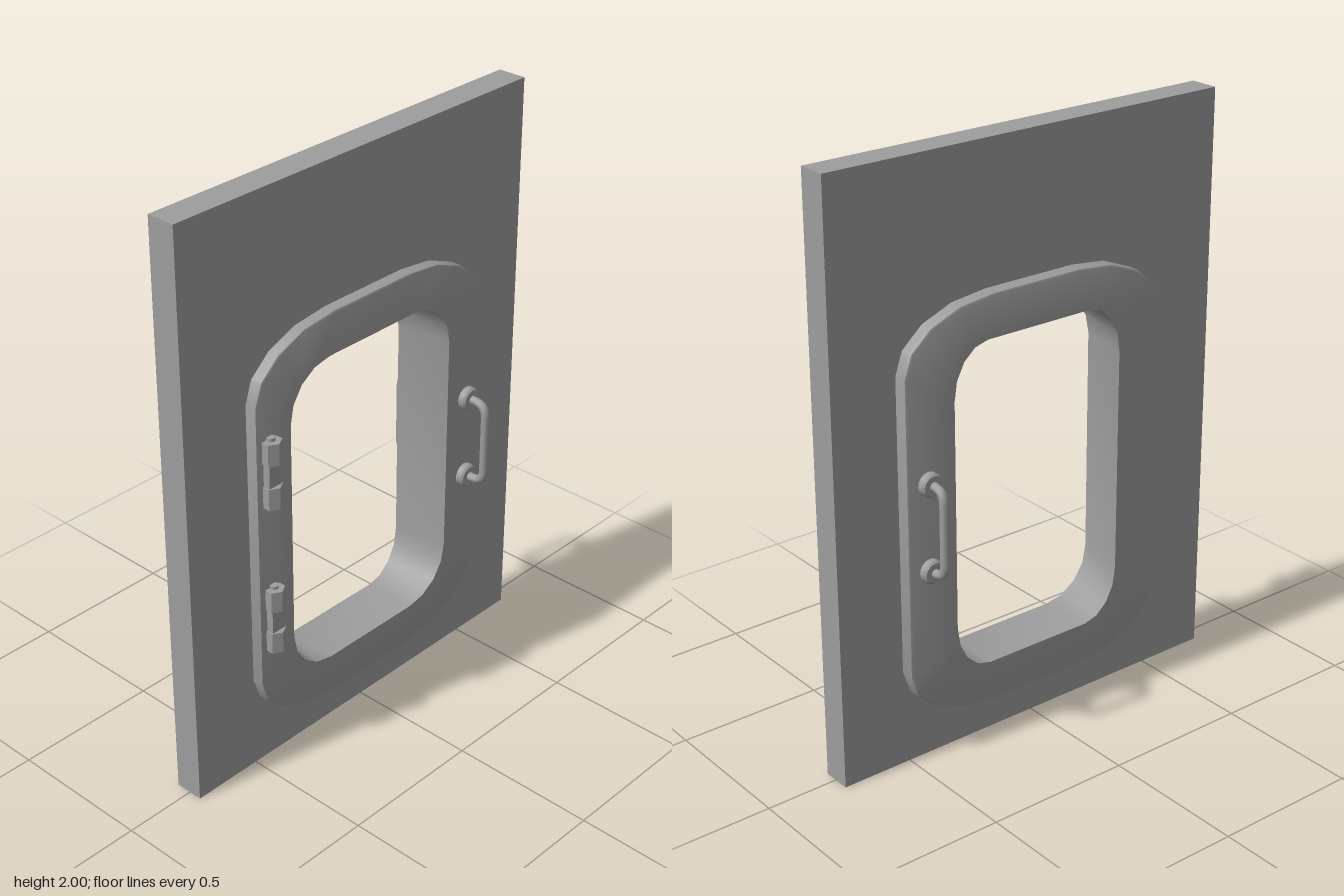
import * as THREE from 'three';
import { toCreasedNormals } from 'three/addons/utils/BufferGeometryUtils.js';

const mat = new THREE.MeshStandardMaterial({ color: 0x9d9d9d });

function add(parent, name, geo, x = 0, y = 0, z = 0) {
  const mesh = new THREE.Mesh(geo, mat);
  mesh.name = name;
  mesh.position.set(x, y, z);
  parent.add(mesh);
  return mesh;
}

// Rectangle with elliptical corners in the z/y plane, as [z, y] points
function roundedRing({ z0, z1, y0, y1, rz, ry }, inset = 0) {
  const steps = 4, pts = [];
  const corners = [[z1 - rz, y1 - ry], [z0 + rz, y1 - ry], [z0 + rz, y0 + ry], [z1 - rz, y0 + ry]];
  corners.forEach(([cz, cy], q) => {
    for (let i = 0; i <= steps; i++) {
      const a = (q + i / steps) * Math.PI / 2;
      pts.push([cz + (rz - inset) * Math.cos(a), cy + (ry - inset) * Math.sin(a)]);
    }
  });
  return pts;
}

// Skin a closed cycle of rings, each { x, pts }
function loftCycle(rings) {
  const n = rings[0].pts.length, m = rings.length, pos = [], idx = [];
  rings.forEach(({ x, pts }) => pts.forEach(([z, y]) => pos.push(x, y, z)));
  for (let r = 0; r < m; r++) {
    for (let i = 0; i < n; i++) {
      const j = (i + 1) % n, s = (r + 1) % m;
      const a = r * n + i, b = r * n + j, c = s * n + j, d = s * n + i;
      idx.push(a, b, c, a, c, d);
    }
  }
  const geo = new THREE.BufferGeometry();
  geo.setAttribute('position', new THREE.Float32BufferAttribute(pos, 3));
  geo.setIndex(idx);
  return toCreasedNormals(geo, 0.6);
}

// Grab handle with two round feet, standing out to side s (+1 or -1)
function makeHandle(s, x, z, reach) {
  const g = new THREE.Group();
  g.name = s > 0 ? 'leftHandle' : 'rightHandle';
  const yLow = 0.685, yHigh = 0.98, bend = 0.045;
  for (const y of [yLow, yHigh]) {
    const foot = new THREE.LatheGeometry([
      [0, 0], [0.04, 0], [0.04, 0.02], [0.034, 0.027], [0, 0.027],
    ].map(p => new THREE.Vector2(...p)), 16);
    add(g, 'handleFoot', toCreasedNormals(foot, 0.6), x, y, z).rotation.z = -s * Math.PI / 2;
  }
  const P = (d, y) => new THREE.Vector3(x + s * d, y, z);
  const path = new THREE.CurvePath();
  path.add(new THREE.LineCurve3(P(0.01, yHigh), P(reach - bend, yHigh)));
  path.add(new THREE.QuadraticBezierCurve3(P(reach - bend, yHigh), P(reach, yHigh), P(reach, yHigh - bend)));
  path.add(new THREE.LineCurve3(P(reach, yHigh - bend), P(reach, yLow + bend)));
  path.add(new THREE.QuadraticBezierCurve3(P(reach, yLow + bend), P(reach, yLow), P(reach - bend, yLow)));
  path.add(new THREE.LineCurve3(P(reach - bend, yLow), P(0.01, yLow)));
  add(g, 'handleBar', new THREE.TubeGeometry(path, 60, 0.015, 10));
  return g;
}

// Hinge: two hexagonal knuckles, a slimmer middle and a pin
function makeHinge(y) {
  const g = new THREE.Group();
  g.name = 'hinge';
  const x = 0.095, z = 0.447;
  for (const s of [-1, 1]) {
    const hex = new THREE.CylinderGeometry(0.035, 0.035, 0.075, 6).rotateY(Math.PI / 2);
    add(g, 'hingeKnuckle', toCreasedNormals(hex, 0.6), x, y + s * 0.077, z);
  }
  add(g, 'hingeMiddle', new THREE.BoxGeometry(0.034, 0.09, 0.052), x, y, z);
  add(g, 'hingePin', new THREE.CylinderGeometry(0.014, 0.014, 0.25, 10), x, y, z);
  return g;
}

export function createModel() {
  const model = new THREE.Group();
  model.name = 'wallWithHatch';

  const outer = { z0: -0.518, z1: 0.5, y0: 0.13, y1: 1.535, rz: 0.34, ry: 0.2 };
  const wide = { z0: -0.37, z1: 0.355, y0: 0.275, y1: 1.39, rz: 0.17, ry: 0.17 };
  const narrow = { z0: -0.335, z1: 0.325, y0: 0.275, y1: 1.39, rz: 0.13, ry: 0.17 };
  const cut = { z0: -0.45, z1: 0.44, y0: 0.2, y1: 1.46, rz: 0.28, ry: 0.2 };

  // Wall panel, cut out behind the frame
  const panel = new THREE.Shape([[-0.75, 0], [0.75, 0], [0.75, 2], [-0.75, 2]].map(p => new THREE.Vector2(...p)));
  panel.holes.push(new THREE.Path(roundedRing(cut).map(([z, y]) => new THREE.Vector2(-z, y))));
  const wallGeo = new THREE.ExtrudeGeometry(panel, { depth: 0.1, bevelEnabled: false }).rotateY(Math.PI / 2);
  add(model, 'wall', wallGeo, -0.054);

  // Door frame with softened outer edges and a tapering opening
  const xL = 0.087, xR = -0.1, b = 0.01;
  add(model, 'doorFrame', loftCycle([
    { x: xR, pts: roundedRing(narrow) },
    { x: xL, pts: roundedRing(wide) },
    { x: xL, pts: roundedRing(outer, b) },
    { x: xL - b * 0.3, pts: roundedRing(outer, b * 0.3) },
    { x: xL - b, pts: roundedRing(outer) },
    { x: xR + b, pts: roundedRing(outer) },
    { x: xR + b * 0.3, pts: roundedRing(outer, b * 0.3) },
    { x: xR, pts: roundedRing(outer, b) },
  ]));

  model.add(makeHandle(1, xL, -0.463, 0.085), makeHandle(-1, xR, -0.437, 0.076));
  model.add(makeHinge(1.1), makeHinge(0.57));
  return model;
}
